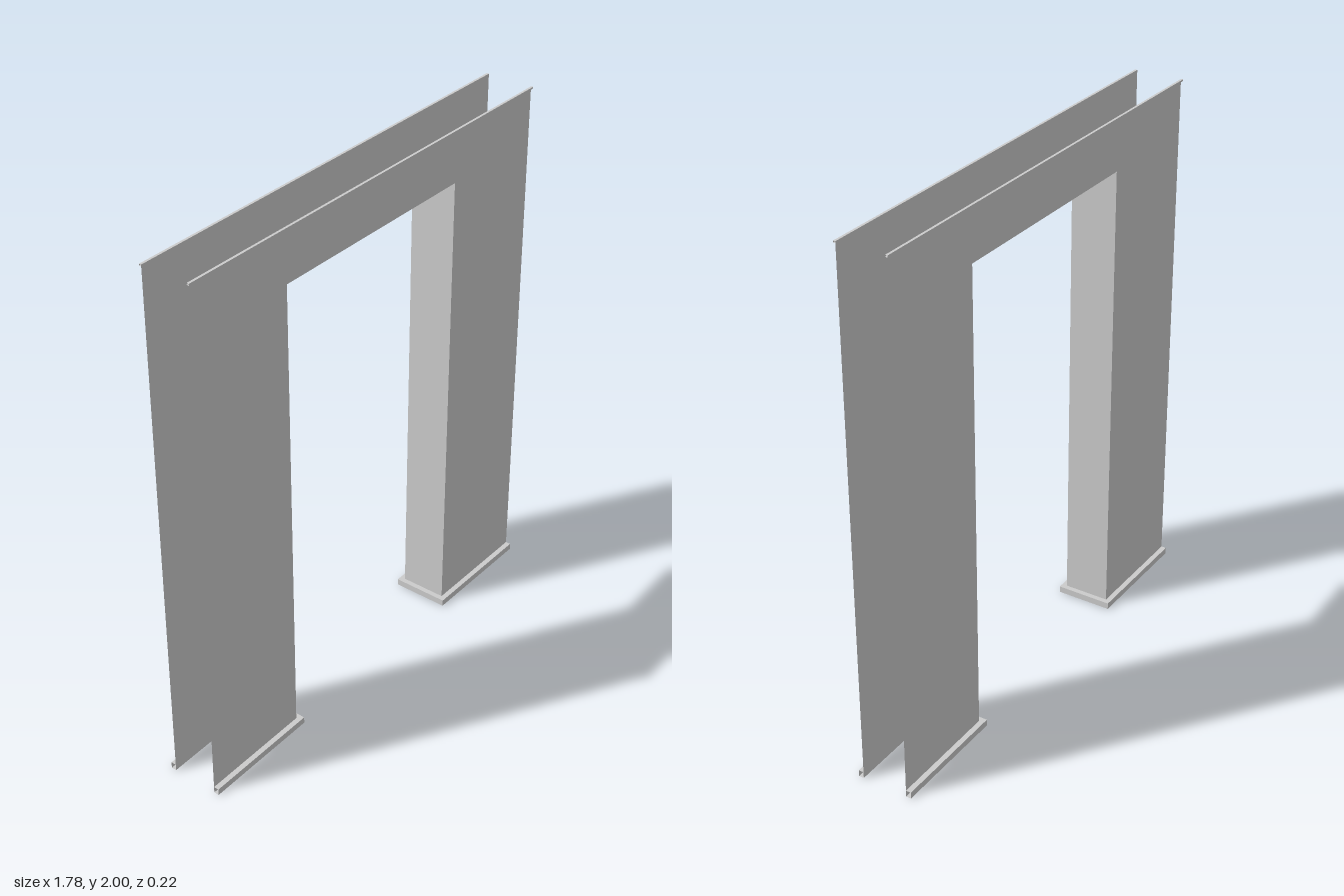
import * as THREE from 'three';

const W = 0.888;   // half width of the wall
const T = 0.0888;  // half thickness of the wall
const A = 0.444;   // half width of the opening
const H = 2;       // wall height
const DOOR = 1.8;  // opening height

const material = new THREE.MeshStandardMaterial({ color: 0xcccccc, side: THREE.DoubleSide });

function addMesh(parent, name, geometry) {
  const mesh = new THREE.Mesh(geometry, material);
  mesh.name = name;
  parent.add(mesh);
  return mesh;
}

// Sweeps an [out, y] profile along path points [x, z, mitreX, mitreZ], flat faced and open ended.
function sweep(path, profile) {
  const at = (p, q) => [p[0] + p[2] * q[0], q[1], p[1] + p[3] * q[0]];
  const pos = [];
  for (let i = 0; i < path.length - 1; i++) {
    for (let j = 0; j < profile.length - 1; j++) {
      const a = at(path[i], profile[j]), b = at(path[i + 1], profile[j]);
      const c = at(path[i + 1], profile[j + 1]), d = at(path[i], profile[j + 1]);
      pos.push(...a, ...b, ...c, ...a, ...c, ...d);
    }
  }
  const geometry = new THREE.BufferGeometry();
  geometry.setAttribute('position', new THREE.Float32BufferAttribute(pos, 3));
  geometry.computeVertexNormals();
  return geometry;
}

export function createModel() {
  const model = new THREE.Group();
  model.name = 'wallWithDoorway';

  // Wall sheet with the doorway cut out
  const outline = [[-W, 0], [-A, 0], [-A, DOOR], [A, DOOR], [A, 0], [W, 0], [W, H], [-W, H]];
  const sheet = new THREE.ShapeGeometry(new THREE.Shape(outline.map(p => new THREE.Vector2(...p))));
  sheet.translate(0, 0, T);

  // Thin trim along the top edge of each sheet
  const trim = sweep([[-W, T, 0, 1], [W, T, 0, 1]],
    [[0, H - 0.006], [0.009, H - 0.006], [0.009, H], [0, H]]);

  // Jamb lining one side of the opening
  const jamb = new THREE.PlaneGeometry(2 * T, DOOR);
  jamb.rotateY(-Math.PI / 2).translate(A, DOOR / 2, 0);

  // Skirting wrapping around the foot of one pier
  const skirting = sweep(
    [[W, -T, 0, -1], [A, -T, -1, -1], [A, T, -1, 1], [W, T, 0, 1]],
    [[0, 0], [0.02, 0], [0.02, 0.025], [0, 0.025]]);

  // The second half is the first turned about the vertical axis
  for (const [angle, face, side] of [[0, 'front', 'left'], [Math.PI, 'back', 'right']]) {
    const half = new THREE.Group();
    half.name = face + 'Half';
    half.rotation.y = angle;
    addMesh(half, face + 'WallPanel', sheet);
    addMesh(half, face + 'TopTrim', trim);
    addMesh(half, side + 'Jamb', jamb);
    addMesh(half, side + 'Skirting', skirting);
    model.add(half);
  }

  // Underside of the lintel
  const soffit = new THREE.PlaneGeometry(2 * A, 2 * T);
  soffit.rotateX(Math.PI / 2).translate(0, DOOR, 0);
  addMesh(model, 'lintelSoffit', soffit);

  return model;
}
